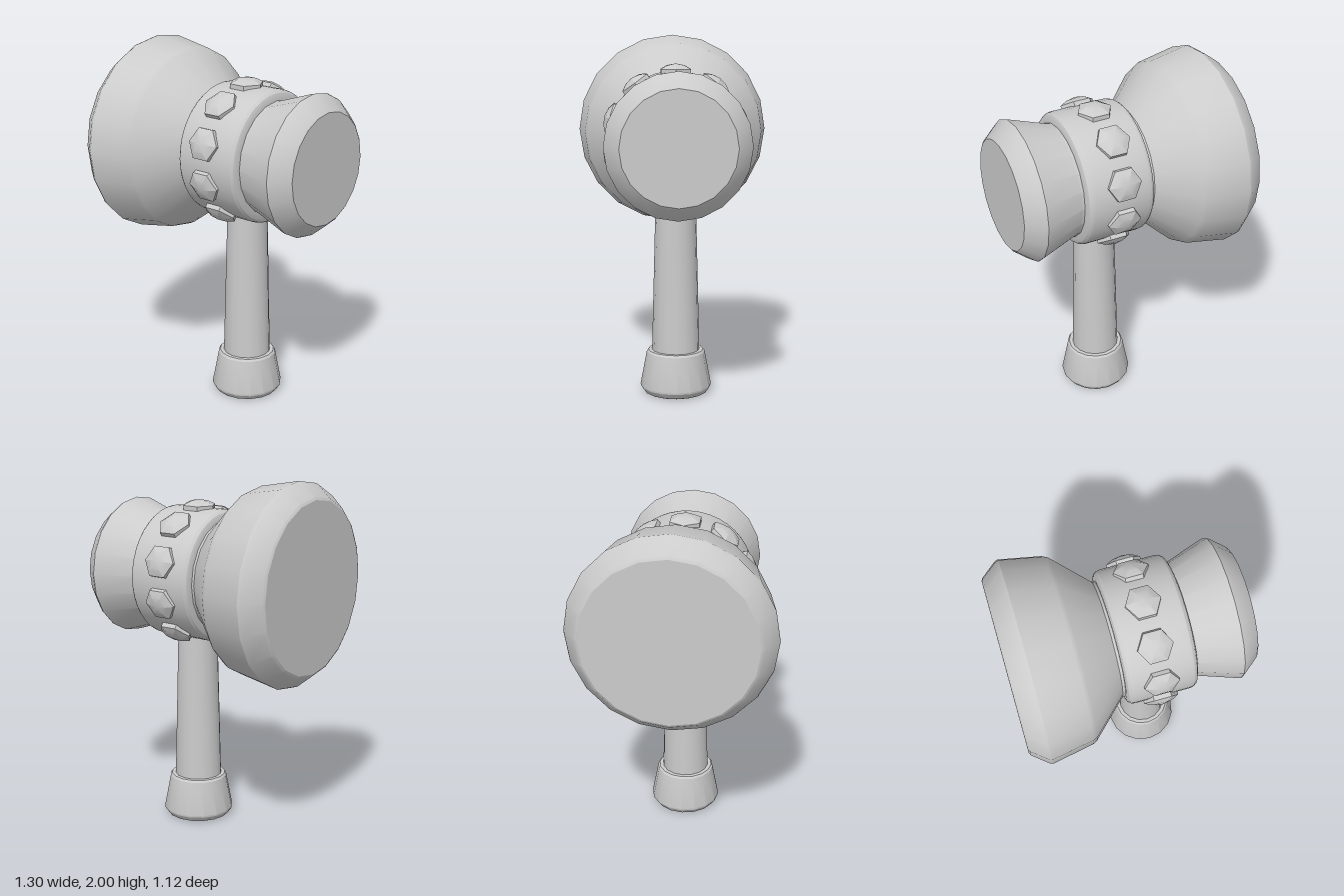
import * as THREE from 'three';
import { toCreasedNormals } from 'three/addons/utils/BufferGeometryUtils.js';

const AXIS_Y = 1.44;    // height of the head's axis
const CENTRE_X = 0.115; // handle and band centre

const material = new THREE.MeshStandardMaterial({ color: 0xcccccc });

// Turned part: profile of [radius, height] from bottom to top
function turned(name, profile, sides, phiStart = 0) {
  const points = profile.map(([r, y]) => new THREE.Vector2(r, y));
  const lathe = new THREE.LatheGeometry(points, sides, phiStart);
  const mesh = new THREE.Mesh(toCreasedNormals(lathe, 0.42), material);
  mesh.name = name;
  return mesh;
}

export function createModel() {
  const model = new THREE.Group();
  model.name = 'mallet';

  // Head parts are turned about the x axis; profile heights become x
  const head = new THREE.Group();
  head.name = 'head';
  head.position.y = AXIS_Y;
  model.add(head);

  const largeHead = turned('largeHead', [
    [0, -0.65], [0.47, -0.65], [0.485, -0.642], [0.553, -0.558], [0.56, -0.54],
    [0.518, -0.31], [0.505, -0.285], [0.32, -0.095], [0.315, 0.1], [0, 0.1],
  ], 20);
  const smallHead = turned('smallHead', [
    [0, 0.1], [0.315, 0.1], [0.315, 0.325], [0.386, 0.535], [0.39, 0.55],
    [0.384, 0.562], [0.32, 0.64], [0.307, 0.65], [0, 0.65],
  ], 20);

  // Band with rounded edges
  const band = turned('band', [
    [0.3, -0.08], [0.33, -0.08], [0.353, -0.07], [0.364, -0.055], [0.368, -0.035],
    [0.368, 0.267], [0.364, 0.287], [0.353, 0.302], [0.33, 0.312], [0.3, 0.312],
  ], 40);
  for (const part of [largeHead, smallHead, band]) {
    part.rotation.z = -Math.PI / 2;
    head.add(part);
  }

  // Six-sided domed studs around the band, leaving room for the handle
  const studs = new THREE.Group();
  studs.name = 'studs';
  studs.position.x = 0.104;
  for (let i = 0; i < 10; i++) {
    if (i === 5) continue;
    const stud = turned('stud', [
      [0.095, 0.345], [0.095, 0.383], [0.055, 0.403], [0, 0.413],
    ], 6, Math.PI / 2);
    stud.rotation.x = i * Math.PI / 5;
    studs.add(stud);
  }
  head.add(studs);

  // Tapered handle and its flared end cap
  const handle = turned('handle', [[0.135, 0.2], [0.112, 1.12]], 16);
  const endCap = turned('endCap', [
    [0, 0], [0.165, 0], [0.178, 0.006], [0.198, 0.034], [0.2, 0.045],
    [0.164, 0.235], [0.155, 0.247], [0, 0.247],
  ], 16);
  for (const part of [handle, endCap]) {
    part.position.x = CENTRE_X;
    model.add(part);
  }

  return model;
}
